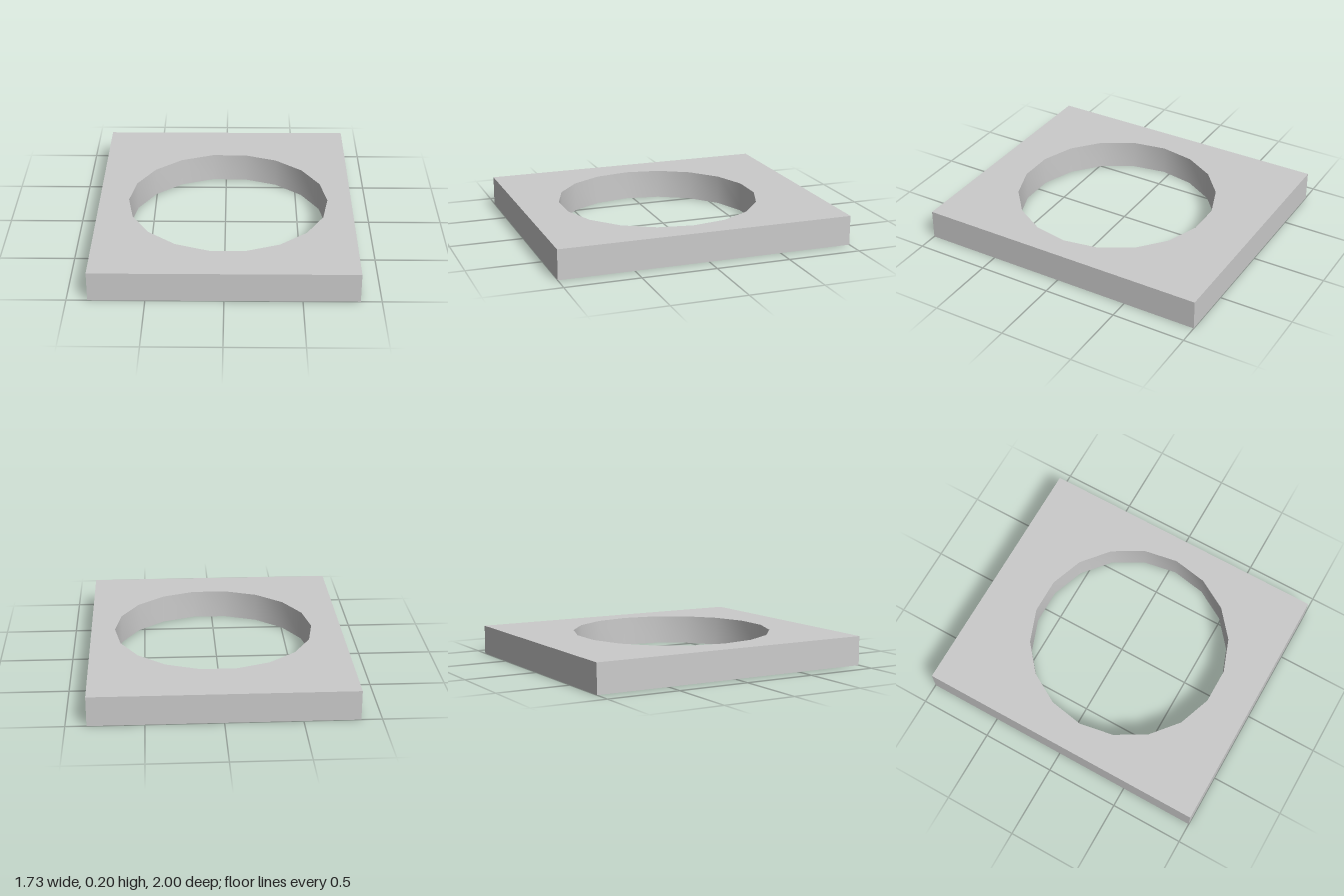
import * as THREE from 'three';
import { toCreasedNormals } from 'three/addons/utils/BufferGeometryUtils.js';

const WIDTH = 1.73, DEPTH = 2, HEIGHT = 0.2;
const HOLE = { x: 0.019, z: 0.047, radius: 0.683, sides: 18 };

export function createModel() {
  const group = new THREE.Group();
  group.name = 'plateWithHole';

  // Rectangular outline
  const w = WIDTH / 2, d = DEPTH / 2;
  const outline = new THREE.Shape([
    new THREE.Vector2(-w, -d), new THREE.Vector2(w, -d),
    new THREE.Vector2(w, d), new THREE.Vector2(-w, d),
  ]);

  // Slightly off-centre, 18-sided round opening (shape y becomes -z)
  const rim = [];
  for (let i = 0; i < HOLE.sides; i++) {
    const a = -(i / HOLE.sides) * Math.PI * 2;
    rim.push(new THREE.Vector2(
      HOLE.x + HOLE.radius * Math.cos(a),
      -HOLE.z + HOLE.radius * Math.sin(a),
    ));
  }
  outline.holes.push(new THREE.Path(rim));

  // Lay the slab flat; smooth the hole wall, keep the outer edges sharp
  const slab = new THREE.ExtrudeGeometry(outline, { depth: HEIGHT, bevelEnabled: false });
  slab.rotateX(-Math.PI / 2);
  const plate = new THREE.Mesh(
    toCreasedNormals(slab, Math.PI / 6),
    new THREE.MeshStandardMaterial({ color: 0xcccccc }),
  );
  plate.name = 'plate';
  group.add(plate);
  return group;
}
